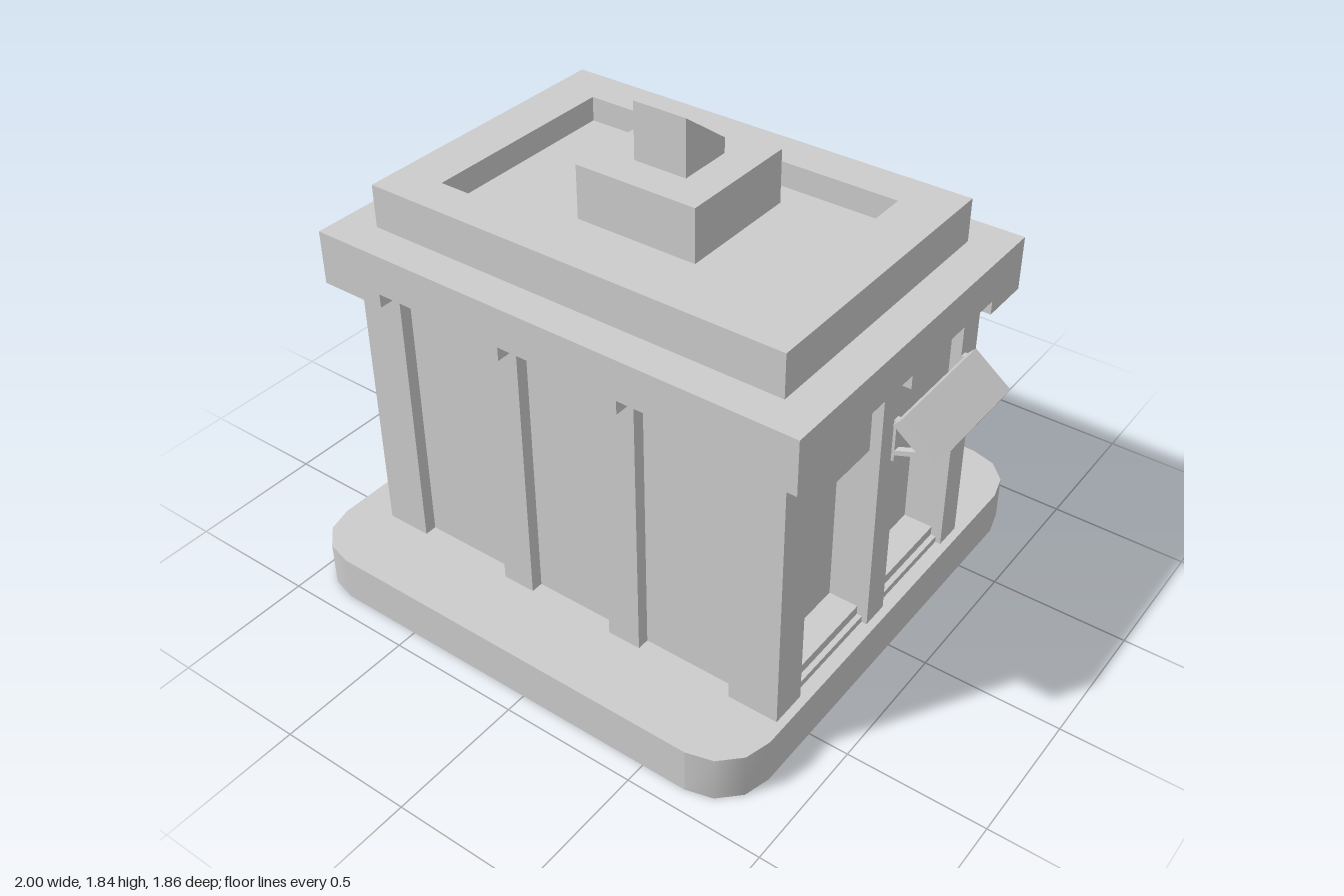
import * as THREE from 'three';

const grey = new THREE.MeshStandardMaterial({ color: 0xcccccc });
const greyDouble = new THREE.MeshStandardMaterial({ color: 0xcccccc, side: THREE.DoubleSide });

// Box given by its bounds on each axis
function box(parent, name, [x0, x1], [y0, y1], [z0, z1]) {
  const mesh = new THREE.Mesh(new THREE.BoxGeometry(x1 - x0, y1 - y0, z1 - z0), grey);
  mesh.position.set((x0 + x1) / 2, (y0 + y1) / 2, (z0 + z1) / 2);
  mesh.name = name;
  parent.add(mesh);
  return mesh;
}

function group(parent, name) {
  const g = new THREE.Group();
  g.name = name;
  parent.add(g);
  return g;
}

function rect(Type, x0, x1, y0, y1) {
  const s = new Type();
  s.moveTo(x0, y0).lineTo(x1, y0).lineTo(x1, y1).lineTo(x0, y1).closePath();
  return s;
}

function extrude(points, depth) {
  const shape = new THREE.Shape(points.map(([x, y]) => new THREE.Vector2(x, y)));
  return new THREE.ExtrudeGeometry(shape, { depth, bevelEnabled: false });
}

// Rounded slab, open underneath
function addBase(parent) {
  const g = group(parent, 'base');
  const r = 0.19, h = 0.17, pts = [];
  const corners = [[0.855 - r, -0.925 + r], [0.855 - r, 0.93 - r], [-1 + r, 0.93 - r], [-1 + r, -0.925 + r]];
  corners.forEach(([cx, cy], i) => {
    for (let k = 0; k <= 3; k++) {
      const a = (i - 1 + k / 3) * Math.PI / 2;
      pts.push(new THREE.Vector2(cx + r * Math.cos(a), cy + r * Math.sin(a)));
    }
  });
  const top = new THREE.ShapeGeometry(new THREE.Shape(pts));
  top.rotateX(-Math.PI / 2).translate(0, h, 0);
  const topMesh = new THREE.Mesh(top, greyDouble);
  topMesh.name = 'baseTop';
  // Rim: a strip wrapped around the outline
  const n = pts.length;
  const rim = new THREE.PlaneGeometry(1, 1, n, 1);
  const pos = rim.attributes.position;
  for (let i = 0; i < pos.count; i++) {
    const p = pts[i % (n + 1) % n];
    pos.setXYZ(i, p.x, i <= n ? h : 0, -p.y);
  }
  rim.computeVertexNormals();
  const rimMesh = new THREE.Mesh(rim, greyDouble);
  rimMesh.name = 'baseRim';
  g.add(topMesh, rimMesh);
}

function addBuilding(parent) {
  const walls = group(parent, 'walls');
  const cornice = group(parent, 'cornice');
  const full = [0.17, 1.23], tab = [1.18, 1.23];
  const X = [-0.85, 0.825], Z = [-0.49, 0.655];

  box(walls, 'core', [-0.805, 0.675], full, [-0.445, 0.61]);
  box(cornice, 'corniceSlab', [-0.93, 0.91], [1.23, 1.375], [-0.575, 0.735]);

  // Front and back pilasters, with the cornice dropping over each one
  const xs = [[-0.85, -0.68], [-0.305, -0.18], [0.155, 0.28], [0.64, 0.825]];
  xs.forEach((x, i) => {
    box(walls, 'frontPilaster', x, full, [0.61, Z[1]]);
    box(walls, 'backPilaster', x, [0.17, 0.9], [Z[0], -0.445]);
    const wide = [i === 0 ? -0.93 : x[0], i === 3 ? 0.91 : x[1]];
    box(cornice, 'frontTab', wide, tab, [Z[1], 0.735]);
    box(cornice, 'backTab', wide, tab, [-0.575, Z[0]]);
  });
  box(walls, 'backUpperWall', X, [0.9, 1.23], [Z[0], -0.445]);

  // Right side: three piers with two deep window bays
  const zs = [[-0.445, -0.385], [0.01, 0.115], [0.52, 0.61]];
  zs.forEach((z) => box(walls, 'rightPier', [0.675, X[1]], full, z));
  [[-0.49, -0.385], [0.01, 0.115], [0.52, 0.655]].forEach((z) =>
    box(cornice, 'rightTab', [X[1], 0.91], tab, z));
  [[-0.385, 0.01], [0.115, 0.52]].forEach((z) => {
    box(walls, 'windowHeader', [0.675, 0.785], [0.89, 1.23], z);
    box(walls, 'windowSill', [0.675, 0.785], [0.17, 0.23], z);
    box(walls, 'windowSillLip', [0.785, 0.805], [0.17, 0.195], z);
  });

  // Left side: corner pilasters around a recessed wall
  [[-0.445, -0.385], [0.52, 0.61]].forEach((z) => box(walls, 'leftPilaster', [X[0], -0.805], full, z));
  [[-0.49, -0.385], [0.52, 0.655]].forEach((z) => box(cornice, 'leftTab', [-0.93, X[0]], tab, z));

  // Door frame and step
  const door = group(parent, 'door');
  const depth = [-0.85, -0.805];
  box(door, 'doorJamb', depth, [0.17, 1.14], [-0.23, -0.19]);
  box(door, 'doorJamb', depth, [0.17, 1.14], [0.27, 0.31]);
  box(door, 'doorLintel', depth, [1.1, 1.14], [-0.19, 0.27]);
  box(door, 'doorStep', [-0.885, -0.805], [0.17, 0.33], [-0.23, 0.31]);
}

function addRoof(parent) {
  const roof = group(parent, 'roof');
  box(roof, 'roofFloor', [-0.8, 0.775], [1.375, 1.44], [-0.445, 0.605]);

  // Parapet around the sunken roof
  const ring = rect(THREE.Shape, -0.8, 0.775, -0.605, 0.445);
  ring.holes.push(rect(THREE.Path, -0.63, 0.595, -0.465, 0.295));
  const geo = new THREE.ExtrudeGeometry(ring, { depth: 0.09, bevelEnabled: false });
  geo.rotateX(-Math.PI / 2).translate(0, 1.44, 0);
  const parapet = new THREE.Mesh(geo, grey);
  parapet.name = 'parapet';
  roof.add(parapet);

  box(roof, 'roofBlock', [-0.24, 0.22], [1.44, 1.635], [-0.2, 0.265]);

  // Wedge-topped vent, profile drawn in (-z, y)
  const ventGeo = extrude([[-0.135, 1.635], [0.07, 1.635], [0.07, 1.69], [-0.135, 1.84]], 0.2);
  ventGeo.rotateY(Math.PI / 2).translate(-0.11, 0, 0);
  const vent = new THREE.Mesh(ventGeo, grey);
  vent.name = 'roofVent';
  roof.add(vent);
}

function addAwning(parent) {
  const awning = group(parent, 'awning');
  const add = (name, points, z0, z1) => {
    const mesh = new THREE.Mesh(extrude(points, z1 - z0), grey);
    mesh.position.z = z0;
    mesh.name = name;
    awning.add(mesh);
  };
  add('awningBoard', [[0.835, 0.985], [0.973, 0.878], [0.998, 0.905], [0.86, 1.012]], -0.415, 0.07);
  // Wall bar and strut at each end
  for (const z of [-0.41, 0.02]) {
    add('bracketBar', [[0.82, 0.825], [0.835, 0.825], [0.835, 0.985], [0.82, 0.985]], z, z + 0.025);
    add('bracketStrut', [[0.83, 0.848], [0.955, 0.893], [0.94, 0.908], [0.83, 0.866]], z, z + 0.025);
  }
}

export function createModel() {
  const model = new THREE.Group();
  model.name = 'building';
  addBase(model);
  addBuilding(model);
  addRoof(model);
  addAwning(model);
  return model;
}
